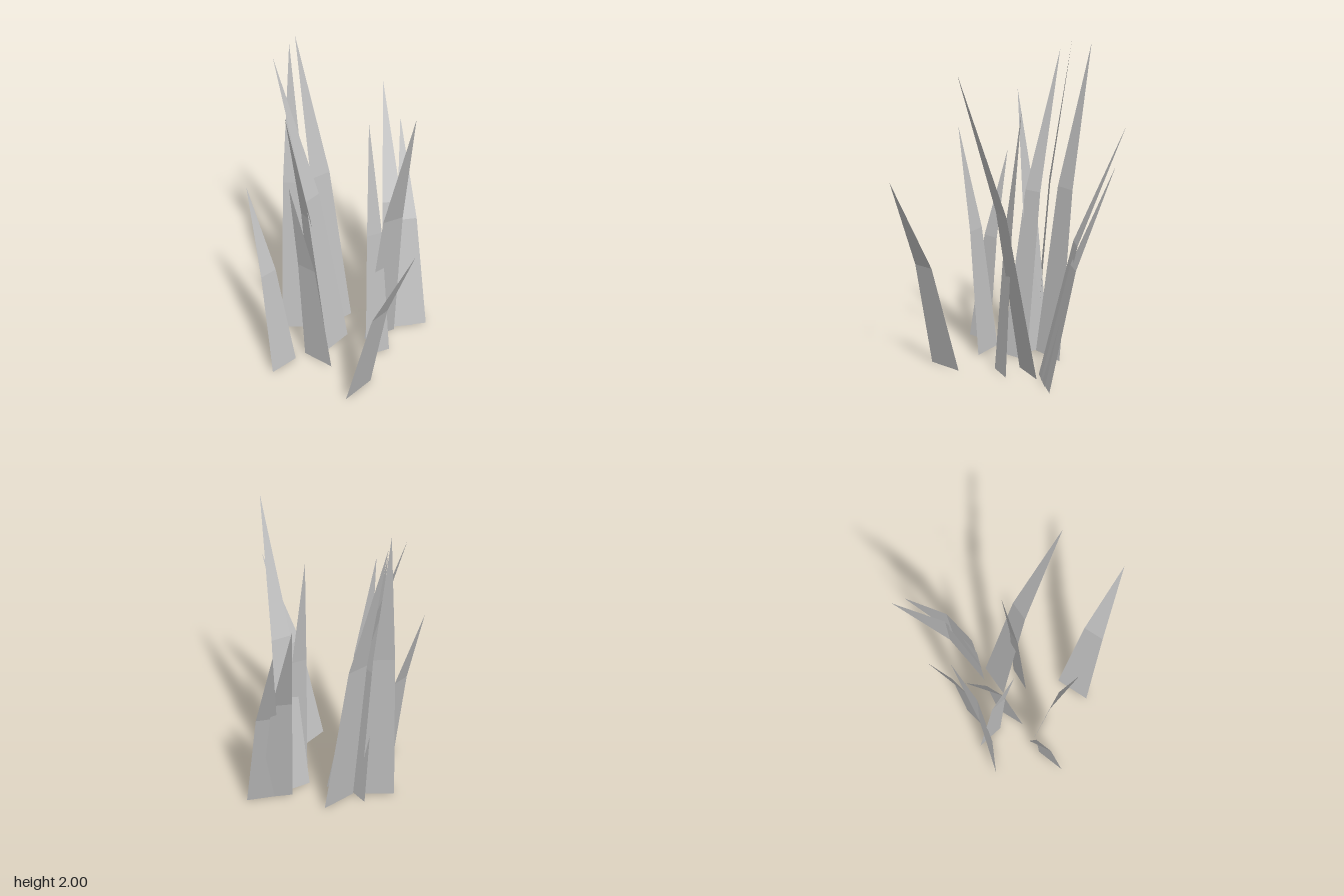
import * as THREE from 'three';

// Each blade: base corner a (x, z), base corner b (x, z), tip (x, y, z)
const BLADES = [
  [[0.05, -0.125], [0.22, -0.24], [-0.18, 1.58, -0.585]],
  [[0.12, -0.17], [0.29, -0.3], [-0.05, 1.36, -0.57]],
  [[-0.3, 0.05], [-0.195, -0.16], [-0.575, 1.99, -0.2]],
  [[-0.54, 0.165], [-0.345, 0.07], [-0.545, 2.0, -0.08]],
  [[-0.165, 0.225], [-0.12, 0.035], [-0.6, 1.94, 0.02]],
  [[-0.4, 0.005], [-0.24, 0.09], [-0.41, 1.7, 0.23]],
  [[0.0, 0.03], [0.13, -0.145], [0.42, 1.92, 0.225]],
  [[0.08, 0.165], [0.185, 0.04], [0.02, 1.66, 0.005]],
  [[-0.28, 0.32], [-0.07, 0.355], [-0.21, 1.47, 0.55]],
  [[-0.375, 0.57], [-0.31, 0.39], [-0.6, 1.25, 0.39]],
  [[0.15, 0.575], [0.21, 0.355], [0.6, 1.29, 0.585]],
];

// A flat blade that bends outward at 55% of its height and narrows to a point
function bladeGeometry(a, b, tip) {
  const end = new THREE.Vector3(...tip);
  const base = [a, b].map(([x, z]) => new THREE.Vector3(x, 0, z));
  const bend = base.map((p) => p.clone().lerp(end, 0.4).setY(end.y * 0.55));
  const points = [...base, ...bend, end];
  const geometry = new THREE.BufferGeometry().setFromPoints(points);
  geometry.setIndex([0, 1, 3, 0, 3, 2, 2, 3, 4]);
  const flat = geometry.toNonIndexed();
  flat.computeVertexNormals();
  return flat;
}

export function createModel() {
  const group = new THREE.Group();
  group.name = 'grassTuft';
  const material = new THREE.MeshStandardMaterial({
    color: 0xc0c0c0, side: THREE.DoubleSide, flatShading: true,
  });
  material.name = 'bladeGrey';
  BLADES.forEach(([a, b, tip], i) => {
    const blade = new THREE.Mesh(bladeGeometry(a, b, tip), material);
    blade.name = `grassBlade${i + 1}`;
    group.add(blade);
  });
  return group;
}
